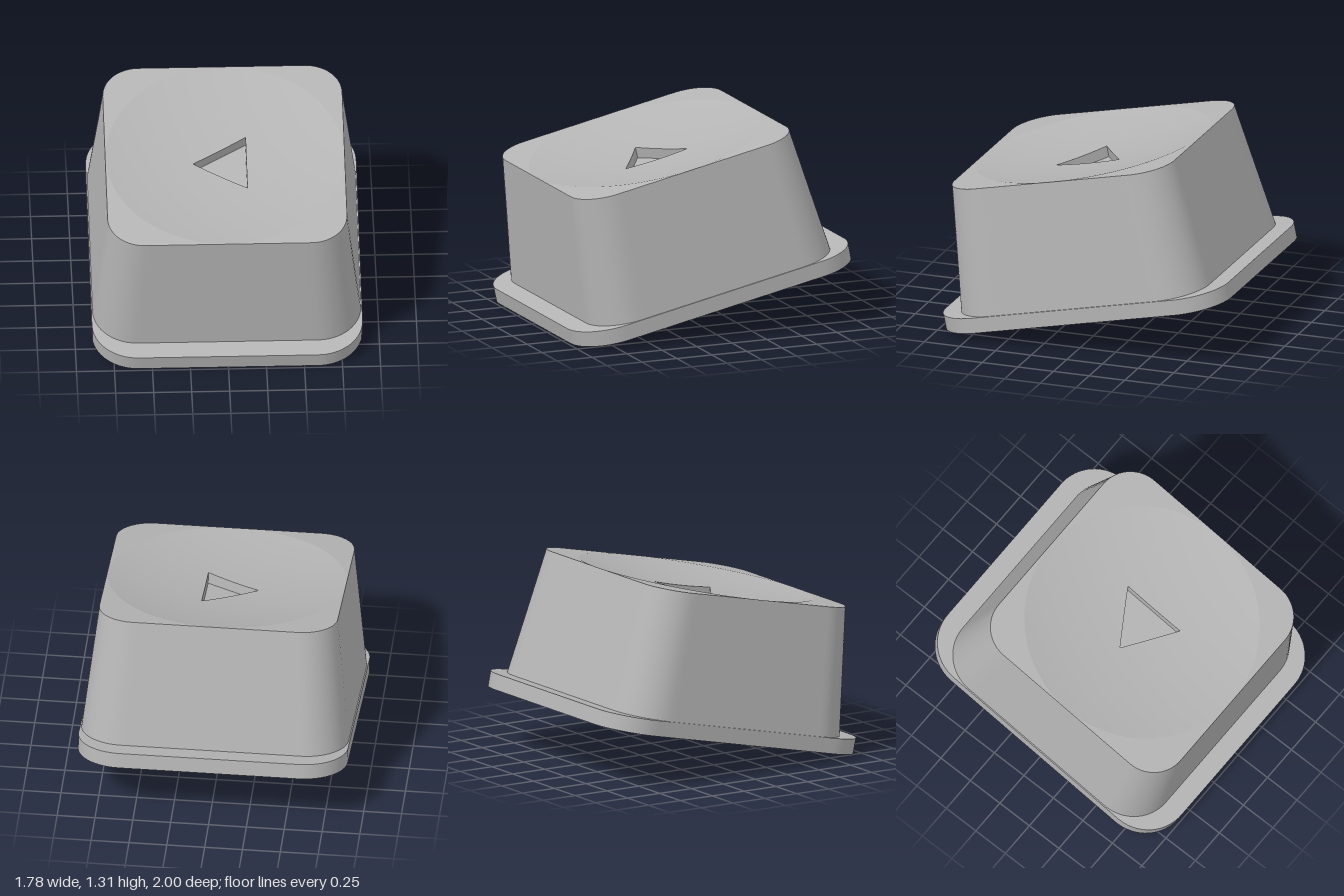
import * as THREE from 'three';

const TILT = 0.2094; // 12 degrees, back raised
const BASE_H = 0.104, TOP_Y = 0.954, TOP_HALF = 0.787;
const DISH_R = 0.784, DISH_DEPTH = 0.083;
const POCKET_FLOOR = 0.803, RECESS_Y = 0.09, WELL_Y = 0.26;

// Arrow-shaped pocket corners (x, z)
const TRI = [[-0.21, 0], [0.143, -0.225], [0.143, 0.225]];

// Ray directions shared by every ring, including the exact pocket corners
const angles = [];
for (let i = 0; i < 240; i++) angles.push(-Math.PI + (i * Math.PI) / 120);
angles.push(Math.atan2(-0.225, 0.143), Math.atan2(0.225, 0.143));
angles.sort((a, b) => a - b);

const sphereR = (DISH_R ** 2 + DISH_DEPTH ** 2) / (2 * DISH_DEPTH);
const dishY = (r) => TOP_Y + sphereR - DISH_DEPTH - Math.sqrt(sphereR ** 2 - r * r);

// Outlines: distance from the centre along a direction
const circle = (r) => () => r;

const roundRect = (hx, hz, r) => (c, s) => {
  let lo = 0, hi = 2;
  for (let i = 0; i < 40; i++) {
    const m = (lo + hi) / 2;
    const qx = Math.abs(c * m) - hx + r, qz = Math.abs(s * m) - hz + r;
    const d = Math.hypot(Math.max(qx, 0), Math.max(qz, 0)) + Math.min(Math.max(qx, qz), 0) - r;
    if (d < 0) lo = m; else hi = m;
  }
  return lo;
};

const triangle = (c, s) => {
  let best = Infinity;
  TRI.forEach(([ax, az], i) => {
    const [bx, bz] = TRI[(i + 1) % 3];
    const nx = bz - az, nz = ax - bx;
    const t = (nx * ax + nz * az) / (nx * c + nz * s);
    if (t > 0) best = Math.min(best, t);
  });
  return best;
};

// Skin between successive rings; each ring is [outline, height or height(r)]
function loft(rings, flat = false) {
  const n = angles.length, pos = [], idx = [];
  for (const [outline, y] of rings) {
    for (const a of angles) {
      const c = Math.cos(a), s = Math.sin(a), r = outline(c, s);
      pos.push(c * r, typeof y === 'function' ? y(r) : y, s * r);
    }
  }
  for (let k = 0; k < rings.length - 1; k++) {
    for (let i = 0; i < n; i++) {
      const a = k * n + i, b = k * n + ((i + 1) % n);
      idx.push(a, a + n, b, b, a + n, b + n);
    }
  }
  let g = new THREE.BufferGeometry();
  g.setAttribute('position', new THREE.Float32BufferAttribute(pos, 3));
  g.setIndex(idx);
  if (flat) g = g.toNonIndexed();
  g.computeVertexNormals();
  return g;
}

export function createModel() {
  const grey = new THREE.MeshStandardMaterial({ color: 0xb4b4b4 });
  grey.name = 'grey';
  const cap = new THREE.Group();
  cap.name = 'keyCap';
  const add = (name, rings, flat) => {
    const mesh = new THREE.Mesh(loft(rings, flat), grey);
    mesh.name = name;
    cap.add(mesh);
  };

  const baseEdge = roundRect(0.89, 1.012, 0.3);
  const bodyFoot = roundRect(0.882, 0.88, 0.29);
  const bodyRim = roundRect(TOP_HALF, TOP_HALF, 0.24);
  const recess = roundRect(0.435, 0.435, 0.03);
  const well = circle(0.265);

  // Base flange
  add('baseUnderside', [[recess, 0], [baseEdge, 0]]);
  add('baseEdge', [[baseEdge, 0], [baseEdge, BASE_H]]);
  add('baseLedge', [[baseEdge, BASE_H], [bodyFoot, BASE_H]]);

  // Tapered body and flat corners of the top
  add('bodyWalls', [[bodyFoot, BASE_H], [bodyRim, TOP_Y]]);
  add('topRim', [[bodyRim, TOP_Y], [circle(DISH_R), TOP_Y]]);

  // Spherical dish running in to the arrow pocket
  const dish = [];
  for (let i = 0; i <= 20; i++) {
    const t = i / 20;
    dish.push([(c, s) => DISH_R * (1 - t) + triangle(c, s) * t, dishY]);
  }
  add('topDish', dish);
  add('arrowPocketWalls', [[triangle, dishY], [triangle, POCKET_FLOOR]], true);
  add('arrowPocketFloor', [[triangle, POCKET_FLOOR], [circle(0), POCKET_FLOOR]]);

  // Square recess and round well underneath
  add('recessWalls', [[recess, RECESS_Y], [recess, 0]], true);
  add('recessCeiling', [[well, RECESS_Y], [recess, RECESS_Y]]);
  add('wellWall', [[well, WELL_Y], [well, RECESS_Y]]);
  add('wellCeiling', [[circle(0), WELL_Y], [well, WELL_Y]]);

  cap.rotation.x = TILT;
  cap.position.set(0, 1.012 * Math.sin(TILT), -0.0108);
  const model = new THREE.Group();
  model.name = 'model';
  model.add(cap);
  return model;
}
